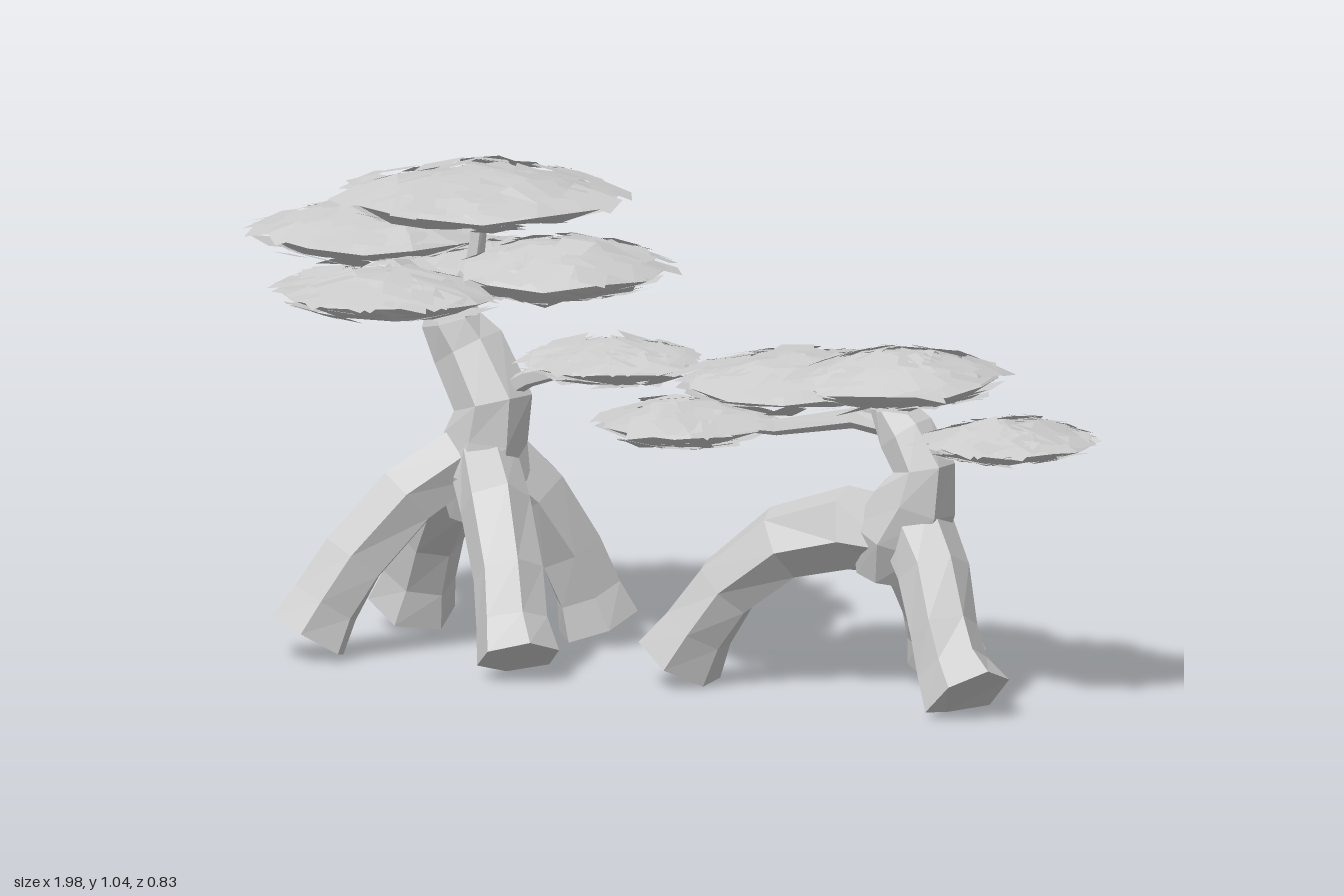
import * as THREE from 'three';

const V = (x, y, z) => new THREE.Vector3(x, y, z);

// Small seeded random generator
let seed = 7;
const rnd = (a = 0, b = 1) => {
  seed = (seed * 16807) % 2147483647;
  return a + (b - a) * (seed / 2147483647);
};

function meshFrom(positions, material, name) {
  const g = new THREE.BufferGeometry();
  g.setAttribute('position', new THREE.Float32BufferAttribute(positions, 3));
  g.computeVertexNormals();
  const m = new THREE.Mesh(g, material);
  m.name = name;
  return m;
}

// Tapered, capped limb; each point is [x, y, z, radius]
function limb(name, points, material, sides = 6) {
  const c = points.map(p => V(p[0], p[1], p[2]));
  const n = c.length;
  const dir = c[n - 1].clone().sub(c[0]);
  const size = [Math.abs(dir.x), Math.abs(dir.y), Math.abs(dir.z)];
  const ref = V(0, 0, 0).setComponent(size.indexOf(Math.min(...size)), 1);
  const rings = c.map((p, i) => {
    const t = c[Math.min(i + 1, n - 1)].clone().sub(c[Math.max(i - 1, 0)]).normalize();
    const u = t.clone().cross(ref).normalize();
    const v = t.clone().cross(u);
    return Array.from({ length: sides }, (_, k) => {
      const a = (k / sides) * Math.PI * 2 + 0.3;
      const r = points[i][3] * rnd(0.93, 1.07);
      const q = p.clone().addScaledVector(u, r * Math.cos(a)).addScaledVector(v, r * Math.sin(a));
      q.y = Math.max(q.y, 0);
      return q;
    });
  });
  const out = [];
  const tri = (...ps) => ps.forEach(p => out.push(p.x, p.y, p.z));
  for (let k = 0; k < sides; k++) {
    const k1 = (k + 1) % sides;
    for (let i = 0; i < n - 1; i++) {
      tri(rings[i][k], rings[i][k1], rings[i + 1][k1]);
      tri(rings[i][k], rings[i + 1][k1], rings[i + 1][k]);
    }
    tri(c[0], rings[0][k1], rings[0][k]);
    const end = rings[n - 1];
    if (k > 0 && k < sides - 1) tri(end[0], end[k], end[k1]);
  }
  return meshFrom(out, material, name);
}

// Lens profile of a foliage pad, as [radius, height] fractions from below to the top
const LENS = [[0, 0.24], [0.35, 0.16], [0.66, 0.09], [0.95, 0.38], [0.74, 0.62], [0.4, 0.84], [0, 0.93]];
const lensHeight = (r, up) => (up ? 0.93 - 0.53 * Math.pow(r, 1.6) : 0.09 + 0.3 * Math.max(0, (r - 0.62) / 0.38));

// Flat foliage pad: faceted core covered with overlapping, tilted leaf plates
function pad(name, [x, y0, z, rx, rz, h], material) {
  const out = [];
  const tri = (...ps) => ps.forEach(p => out.push(p.x, p.y, p.z));
  const at = (r, a, f) => V(x + rx * r * Math.cos(a), y0 + h * f, z + rz * r * Math.sin(a));
  const segs = 11;
  const rings = LENS.map(([r, f]) => Array.from({ length: segs }, (_, k) =>
    at(r * rnd(0.92, 1.03), ((k + (r ? rnd(-0.25, 0.25) : 0)) / segs) * Math.PI * 2, r ? f + rnd(-0.08, 0.08) : f)));
  for (let i = 0; i < rings.length - 1; i++) {
    for (let k = 0; k < segs; k++) {
      const k1 = (k + 1) % segs;
      if (i < rings.length - 2) tri(rings[i][k], rings[i + 1][k], rings[i + 1][k1]);
      if (i > 0) tri(rings[i][k], rings[i + 1][k1], rings[i][k1]);
      if (i === rings.length - 2) tri(rings[i][k], rings[i + 1][0], rings[i][k1]);
    }
  }
  // One irregular four-cornered leaf plate lying along the lens surface
  const plate = (r, a, half, up) => {
    const slope = (lensHeight(r + 0.08, up) - lensHeight(r - 0.08, up)) / 0.16 * (h / rx) + rnd(-0.1, 0.1);
    const side = rnd(-0.15, 0.15);
    const c = at(r, a, lensHeight(r, up) + (up ? rnd(0, 0.1) : rnd(-0.09, 0.02)));
    const yaw = rnd(0, Math.PI);
    const [p, q, m, n] = [0, 1, 2, 3].map(k => {
      const b = yaw + k * Math.PI / 2 + rnd(-0.3, 0.3);
      const d = half * rnd(0.75, 1.25);
      const e = d * Math.cos(b), s = d * Math.sin(b);
      return V(c.x + e * Math.cos(a) - s * Math.sin(a), c.y + e * slope + s * side, c.z + e * Math.sin(a) + s * Math.cos(a));
    });
    if (up) tri(p, m, q, p, n, m);
    else tri(p, q, m, p, m, n);
  };
  const half = 0.056;
  const edge = 1 - 0.66 * half / rx;
  for (let i = 0; i < 40; i++) plate(Math.sqrt(rnd(0.02, 0.7)), rnd(0, Math.PI * 2), half * rnd(0.8, 1.2), true);
  for (let i = 0; i < 18; i++) plate(Math.sqrt(rnd(0.1, 0.6)), rnd(0, Math.PI * 2), half * rnd(0.8, 1.2), false);
  // Ragged rim
  for (let i = 0; i < 18; i++) {
    const a = ((i + rnd(-0.3, 0.3)) / 18) * Math.PI * 2;
    plate(edge * rnd(0.9, 1.02), a, half * rnd(0.8, 1.1), true);
    plate(edge * rnd(0.84, 0.98), a + 0.17, half * rnd(0.7, 1), false);
  }
  return meshFrom(out, material, name);
}

function tree(name, spec, material) {
  const g = new THREE.Group();
  g.name = name;
  g.add(limb('trunk', spec.trunk, material, 7));
  spec.legs.forEach(p => g.add(limb('rootLeg', p, material)));
  spec.branches.forEach(p => g.add(limb('branch', p, material, 5)));
  spec.pads.forEach(p => g.add(pad('foliagePad', p, material)));
  return g;
}

// Arched root from the hub to a foot
const root = ([hx, hy, hz], [fx, fz]) => [[0, 0, 0.07], [0.38, 0.23, 0.078], [0.72, 0.57, 0.073], [0.9, 0.82, 0.076], [1.02, 1, 0.094]]
  .map(([t, d, r]) => [hx + (fx - hx) * t, hy + (0.045 - hy) * d, hz + (fz - hz) * t, r]);

export function createModel() {
  const grey = new THREE.MeshStandardMaterial({ color: 0xcccccc, side: THREE.DoubleSide, flatShading: true });
  grey.name = 'pale grey';

  const tall = {
    trunk: [[-0.47, 0.28, 0, 0.06], [-0.46, 0.38, 0, 0.1], [-0.45, 0.46, 0, 0.09], [-0.435, 0.53, 0, 0.083], [-0.5, 0.64, -0.01, 0.076], [-0.535, 0.7, 0, 0.065], [-0.535, 0.77, 0, 0.042]],
    legs: [[-0.74, 0.235], [-0.24, 0.245], [-0.3, -0.21], [-0.735, -0.195]]
      .map(f => root([-0.47 + Math.sign(f[0] + 0.47) * 0.02, 0.42, Math.sign(f[1]) * 0.02], f)),
    branches: [
      [[-0.44, 0.54, 0, 0.025], [-0.35, 0.59, 0, 0.02], [-0.18, 0.64, 0, 0.012]],
      [[-0.53, 0.74, 0, 0.03], [-0.48, 0.82, 0, 0.022], [-0.46, 0.95, 0, 0.015]],
      [[-0.54, 0.75, 0, 0.03], [-0.63, 0.81, 0, 0.02], [-0.73, 0.86, 0, 0.012]],
      [[-0.52, 0.74, 0, 0.03], [-0.4, 0.79, 0, 0.02], [-0.26, 0.83, 0, 0.012]],
      [[-0.53, 0.72, 0, 0.03], [-0.55, 0.74, 0.1, 0.02], [-0.57, 0.77, 0.2, 0.012]],
      [[-0.53, 0.72, 0, 0.03], [-0.54, 0.74, -0.1, 0.02], [-0.55, 0.77, -0.2, 0.012]],
    ],
    pads: [
      [-0.47, 0.922, 0, 0.305, 0.305, 0.112],
      [-0.735, 0.825, -0.02, 0.255, 0.275, 0.1],
      [-0.25, 0.79, 0.025, 0.23, 0.255, 0.11],
      [-0.58, 0.742, 0.195, 0.255, 0.2, 0.092],
      [-0.55, 0.745, -0.195, 0.25, 0.205, 0.092],
      [-0.15, 0.612, 0, 0.19, 0.18, 0.078],
    ],
  };

  const low = {
    trunk: [[0.53, 0.25, 0.02, 0.07], [0.55, 0.34, 0.02, 0.1], [0.595, 0.42, 0.02, 0.088], [0.61, 0.49, 0.02, 0.07], [0.57, 0.56, 0.02, 0.06], [0.51, 0.63, 0.02, 0.035]],
    legs: [
      [[0.57, 0.34, 0.02, 0.08], [0.44, 0.35, 0.04, 0.084], [0.3, 0.31, 0.07, 0.08], [0.18, 0.21, 0.1, 0.076], [0.12, 0.12, 0.115, 0.079], [0.075, 0.05, 0.12, 0.1]],
      [[0.58, 0.38, 0.02, 0.08], [0.66, 0.28, 0.07, 0.076], [0.715, 0.17, 0.12, 0.073], [0.755, 0.1, 0.15, 0.076], [0.8, 0.045, 0.17, 0.094]],
      [[0.54, 0.36, 0, 0.07], [0.52, 0.27, -0.1, 0.075], [0.52, 0.16, -0.17, 0.068], [0.53, 0.1, -0.19, 0.072], [0.54, 0.045, -0.21, 0.09]],
    ],
    branches: [
      [[0.56, 0.57, 0.02, 0.03], [0.45, 0.585, 0.04, 0.022], [0.3, 0.56, 0.1, 0.018], [0.12, 0.56, 0.12, 0.012]],
      [[0.61, 0.51, 0.02, 0.028], [0.68, 0.55, 0.01, 0.02], [0.8, 0.565, 0, 0.012]],
      [[0.53, 0.6, 0.02, 0.03], [0.44, 0.63, 0.03, 0.02], [0.34, 0.66, 0.03, 0.012]],
      [[0.53, 0.6, 0.02, 0.03], [0.54, 0.65, 0.04, 0.02], [0.57, 0.7, 0.06, 0.012]],
    ],
    pads: [
      [0.1, 0.522, 0.12, 0.19, 0.19, 0.082],
      [0.33, 0.612, 0.03, 0.275, 0.28, 0.1],
      [0.58, 0.642, 0.07, 0.225, 0.235, 0.105],
      [0.8, 0.53, 0, 0.19, 0.19, 0.072],
    ],
  };

  const model = new THREE.Group();
  model.name = 'twinFlatCanopyTrees';
  model.add(tree('tallTree', tall, grey), tree('lowTree', low, grey));
  return model;
}
